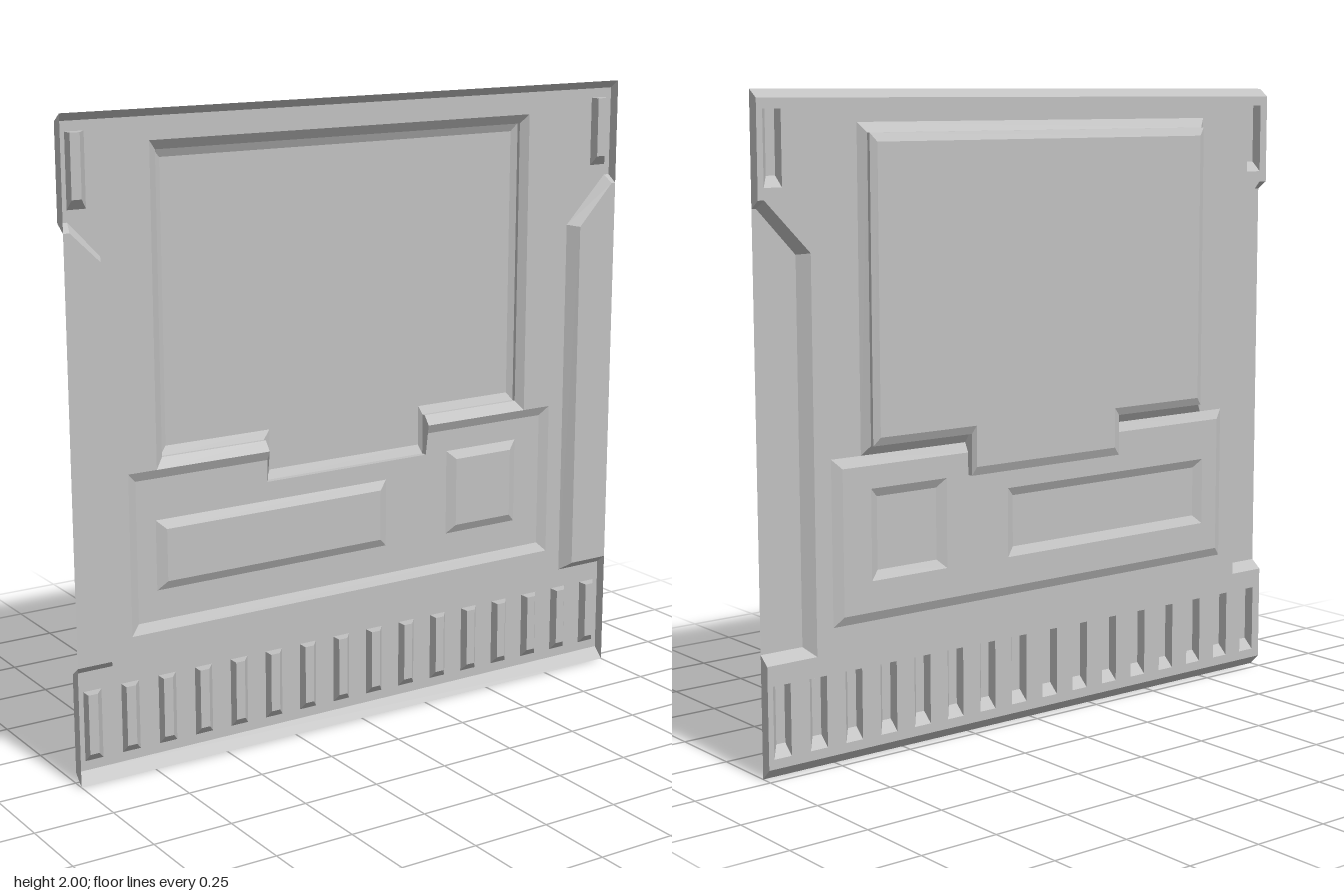
import * as THREE from 'three';

const metal = new THREE.MeshStandardMaterial({ color: 0xc0c0c0, side: THREE.DoubleSide });
metal.name = 'grey metal';

// depths of the pressed sheet
const Z = { front: 0.04, sheet: 0.005, panel: -0.01, step: -0.018, rim: -0.03, back: -0.043 };

const rect = (x0, x1, y0, y1) => [[x0, y0], [x1, y0], [x1, y1], [x0, y1]];
const at = (points, z) => points.map(([x, y]) => [x, y, z]);

export function createModel() {
  const group = new THREE.Group();

  const add = (name, geometry) => {
    const mesh = new THREE.Mesh(geometry, metal);
    mesh.name = name;
    group.add(mesh);
  };

  // flat area at one depth, with optional openings
  const plate = (name, outline, z, holes = []) => {
    const vectors = (points) => points.map(([x, y]) => new THREE.Vector2(x, y));
    const shape = new THREE.Shape(vectors(outline));
    for (const hole of holes) shape.holes.push(new THREE.Path(vectors(hole)));
    add(name, new THREE.ShapeGeometry(shape).translate(0, 0, z));
  };

  // wall joining two outlines with the same number of points
  const wall = (name, a, b, closed = true) => {
    const positions = [];
    const count = closed ? a.length : a.length - 1;
    for (let i = 0; i < count; i++) {
      const j = (i + 1) % a.length;
      positions.push(...a[i], ...a[j], ...b[j], ...a[i], ...b[j], ...b[i]);
    }
    const geometry = new THREE.BufferGeometry();
    geometry.setAttribute('position', new THREE.Float32BufferAttribute(positions, 3));
    geometry.computeVertexNormals();
    add(name, geometry);
  };

  // louvres: straight top and left walls, sloped right and bottom walls
  const louvres = [[-0.97, 1.725, 1.945], [0.92, 1.725, 1.945]];
  for (let i = 0; i < 16; i++) louvres.push([-0.968 + i * 0.126, 0.065, 0.285]);
  const louvreHoles = louvres.map(([x, y0, y1]) => {
    const base = rect(x, x + 0.06, y0, y1);
    const top = rect(x, x + 0.031, y0 + 0.032, y1);
    wall('louvreWall', at(base, Z.sheet), at(top, Z.front));
    plate('louvreFace', top, Z.front);
    return base;
  });

  // raised side panels
  const sides = [
    {
      base: [[-1, 0.347], [-0.87, 0.347], [-0.87, 1.585], [-0.97, 1.69], [-1, 1.69]],
      top: [[-1, 0.375], [-0.887, 0.375], [-0.887, 1.575], [-0.98, 1.665], [-1, 1.665]],
    },
    {
      base: [[1, 0.347], [0.828, 0.347], [0.828, 1.535], [0.98, 1.69], [1, 1.69]],
      top: [[1, 0.375], [0.857, 0.375], [0.857, 1.53], [0.985, 1.665], [1, 1.665]],
    },
  ];
  for (const { base, top } of sides) {
    wall('sidePanelWall', at(base, Z.sheet), at(top, Z.front), false);
    plate('sidePanel', top, Z.front);
  }

  // main sheet around the large pressings
  const opening = [
    [-0.80, 0.425], [0.77, 0.425], [0.77, 0.93], [0.665, 0.93],
    [0.665, 1.905], [-0.705, 1.905], [-0.705, 0.93], [-0.80, 0.93],
  ];
  const sheet = [
    [-1, 0.035], [1, 0.035], ...sides[1].base, [1, 1.975],
    [-1, 1.975], ...[...sides[0].base].reverse(),
  ];
  plate('mainSheet', sheet, Z.sheet, [opening, ...louvreHoles]);

  // top and bottom flanges, and the end caps
  for (const [name, inner, outer] of [['topFlange', 1.975, 2], ['bottomFlange', 0.035, 0]]) {
    wall(name, [[-1, inner, Z.sheet], [1, inner, Z.sheet]],
      [[-1, outer, Z.front], [1, outer, Z.front]], false);
  }
  for (const x of [-1, 1]) {
    wall('lowerEndCap', [[x, 0.035, Z.sheet], [x, 0.347, Z.sheet]],
      [[x, 0, Z.front], [x, 0.375, Z.front]], false);
    wall('upperEndCap', [[x, 1.69, Z.sheet], [x, 1.975, Z.sheet]],
      [[x, 1.665, Z.front], [x, 2, Z.front]], false);
  }

  // lower panel, notched where the screen tab overlaps it
  const tabL = -0.315, tabR = 0.28, tabY = 0.83;
  const panelRim = [
    [tabL, 0.93], [-0.80, 0.93], [-0.80, 0.425], [0.77, 0.425], [0.77, 0.93], [tabR, 0.93],
  ];
  const panelFloor = [
    [tabL, 0.90], [-0.77, 0.90], [-0.77, 0.455], [0.74, 0.455], [0.74, 0.90], [tabR, 0.90],
  ];
  wall('lowerPanelWall', at(panelRim, Z.sheet), at(panelFloor, Z.panel), false);

  // two raised pads inside the lower panel
  const pads = [[-0.705, 0.125, 0.55, 0.77], [0.362, 0.64, 0.55, 0.83]].map(([x0, x1, y0, y1]) => {
    const base = rect(x0, x1, y0, y1);
    const top = rect(x0 + 0.03, x1 - 0.03, y0 + 0.028, y1 - 0.028);
    wall('padWall', at(base, Z.panel), at(top, Z.sheet));
    plate('padFace', top, Z.sheet);
    return base;
  });
  plate('lowerPanel', [...panelFloor, [tabR, tabY], [tabL, tabY]], Z.panel, pads);

  // large stepped screen pressing with a tab at the bottom
  const screenOutline = (d, tabInset) => [
    [-0.705 + d, 0.93 + d], [tabL + tabInset, 0.93 + d], [tabL + tabInset, tabY + tabInset],
    [tabR - tabInset * 0.3, tabY + tabInset], [tabR - tabInset * 0.3, 0.93 + d],
    [0.665 - d * 0.7, 0.93 + d], [0.665 - d * 0.7, 1.905 - d], [-0.705 + d, 1.905 - d],
  ];
  const rim = at(screenOutline(0, 0), Z.sheet);
  rim[2][2] = rim[3][2] = Z.panel;
  const step = screenOutline(0.03, 0);
  const floor = screenOutline(0.056, 0.028);
  wall('screenOuterSlope', rim, at(step, Z.step));
  wall('screenRim', at(step, Z.step), at(step, Z.rim));
  wall('screenInnerSlope', at(step, Z.rim), at(floor, Z.back));
  plate('screenFace', floor, Z.back);

  return group;
}
